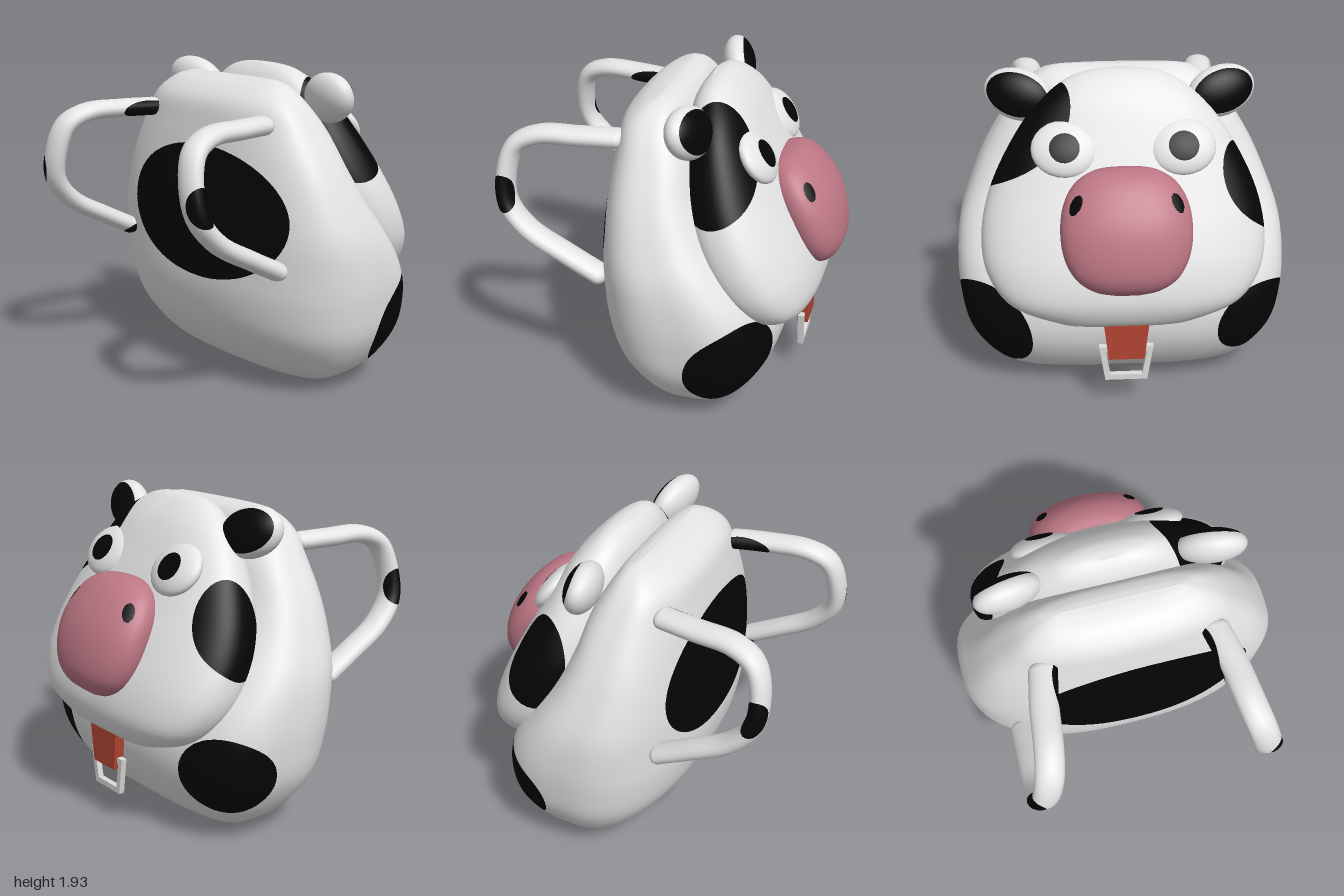
import * as THREE from 'three';

const mat = (name, color) =>
  Object.assign(new THREE.MeshStandardMaterial({ color }), { name });

// Smooth loft: sections are [y, halfWidth, zMin, zMax], each ring a superellipse
// with its own power on the -z half and on the +z half.
function loft(sections, powerBack, powerFront = powerBack, segs = 80, rings = 64) {
  const spline = (f) => new THREE.CatmullRomCurve3(sections.map(f), false, 'catmullrom');
  const widths = spline(([y, w]) => new THREE.Vector3(y, w, 0));
  const depths = spline(([, , lo, hi]) => new THREE.Vector3(lo, hi, 0));
  const bend = (v, power) => Math.sign(v) * Math.abs(v) ** (2 / power);
  const pos = [], index = [];
  for (let i = 0; i <= rings; i++) {
    const { x: y, y: w } = widths.getPoint(i / rings);
    const { x: lo, y: hi } = depths.getPoint(i / rings);
    for (let j = 0; j < segs; j++) {
      const a = (j / segs) * Math.PI * 2;
      const n = Math.sin(a) < 0 ? powerBack : powerFront;
      pos.push(w * bend(Math.cos(a), n), y, (lo + hi) / 2 + ((hi - lo) / 2) * bend(Math.sin(a), n));
      if (i === rings) continue;
      const p = i * segs + j, q = i * segs + ((j + 1) % segs);
      index.push(p, p + segs, q, p + segs, q + segs, q);
    }
  }
  const geo = new THREE.BufferGeometry();
  geo.setAttribute('position', new THREE.Float32BufferAttribute(pos, 3));
  geo.setIndex(index);
  geo.computeVertexNormals();
  return geo;
}

// Signed test for an ellipsoid region, negative inside.
const blob = (cx, cy, cz, rx, ry = rx, rz = rx) => (v) =>
  Math.hypot((v.x - cx) / rx, (v.y - cy) / ry, (v.z - cz) / rz) - 1;

// Cuts the triangles along test = 0 and gives the inside the spot material.
function painted(name, geometry, base, spot, ...tests) {
  const g = geometry.toNonIndexed();
  const P = g.attributes.position, N = g.attributes.normal;
  const parts = [{ p: [], n: [] }, { p: [], n: [] }];
  const corner = (i) => {
    const p = new THREE.Vector3().fromBufferAttribute(P, i);
    const n = new THREE.Vector3().fromBufferAttribute(N, i);
    return { p, n, f: Math.min(...tests.map((t) => t(p))) };
  };
  for (let i = 0; i < P.count; i += 3) {
    const tri = [corner(i), corner(i + 1), corner(i + 2)];
    parts.forEach((part, k) => {
      const side = k ? -1 : 1, poly = [];
      tri.forEach((a, e) => {
        const b = tri[(e + 1) % 3];
        if (a.f * side >= 0) poly.push(a);
        if (a.f * b.f < 0) {
          const t = a.f / (a.f - b.f);
          poly.push({ p: a.p.clone().lerp(b.p, t), n: a.n.clone().lerp(b.n, t).normalize() });
        }
      });
      for (let e = 1; e + 1 < poly.length; e++) {
        for (const c of [poly[0], poly[e], poly[e + 1]]) {
          part.p.push(c.p.x, c.p.y, c.p.z);
          part.n.push(c.n.x, c.n.y, c.n.z);
        }
      }
    });
  }
  const out = new THREE.BufferGeometry();
  const join = (key) => new THREE.Float32BufferAttribute(parts[0][key].concat(parts[1][key]), 3);
  out.setAttribute('position', join('p'));
  out.setAttribute('normal', join('n'));
  const count = parts[0].p.length / 3;
  out.addGroup(0, count, 0);
  out.addGroup(count, parts[1].p.length / 3, 1);
  const mesh = new THREE.Mesh(out, [base, spot]);
  mesh.name = name;
  return mesh;
}

const polygon = (points) => new THREE.Shape(points.map(([x, y]) => new THREE.Vector2(x, y)));

export function createModel() {
  const white = mat('white plush', 0xe4e4e4);
  const black = mat('black plush', 0x050505);
  const pink = mat('pink muzzle', 0xbd7785);
  const red = mat('red tongue', 0xb34533);
  const metal = mat('zip metal', 0xdcdcda);
  const model = new THREE.Group();
  const TILT = 0.456;

  // Bag body, with a big back patch and two low side patches
  const body = loft([
    [0.005, 0.44, -0.18, -0.18], [0.02, 0.56, -0.31, -0.06], [0.07, 0.68, -0.43, 0.07],
    [0.18, 0.82, -0.56, 0.21], [0.38, 0.945, -0.67, 0.35], [0.6, 0.99, -0.69, 0.41],
    [0.8, 1.0, -0.62, 0.42], [1.0, 0.98, -0.48, 0.415], [1.2, 0.91, -0.34, 0.4],
    [1.4, 0.82, -0.24, 0.375], [1.6, 0.7, -0.18, 0.345], [1.75, 0.59, -0.1, 0.31],
    [1.84, 0.48, -0.04, 0.22], [1.875, 0.39, 0.02, 0.13], [1.885, 0.33, 0.07, 0.07],
  ], 3.5, 2.5, 96, 72);
  model.add(painted('body', body, white, black,
    (v) => Math.max(Math.hypot((v.x - 0.07) / 0.67, (v.y - 1.1) / 0.4) - 1, -v.z),
    blob(0.84, 0.43, -0.52, 0.32),
    blob(-0.82, 0.46, -0.54, 0.29, 0.25, 0.3)));

  // Head: tilted dome with an ear patch and a cheek patch
  const head = loft([
    [-0.73, 0.2, 0.02, 0.02], [-0.705, 0.38, -0.08, 0.13], [-0.6, 0.65, -0.18, 0.22],
    [-0.42, 0.79, -0.23, 0.32], [-0.2, 0.83, -0.24, 0.38], [0.05, 0.79, -0.23, 0.38],
    [0.3, 0.68, -0.22, 0.32], [0.54, 0.52, -0.2, 0.2], [0.69, 0.35, -0.15, 0.1],
    [0.75, 0.22, -0.1, 0.03], [0.777, 0.04, -0.04, -0.04],
  ], 2.4).rotateX(TILT).translate(0, 1.22, -0.46);
  model.add(painted('head', head, white, black,
    blob(0.62, 1.65, -0.31, 0.36, 0.4, 0.26),
    blob(-0.72, 1.28, -0.43, 0.21, 0.31, 0.2)));

  // Muzzle with nostrils
  const muzzle = loft([
    [-0.365, 0.06, 0.0, 0.0], [-0.34, 0.18, -0.09, 0.06], [-0.27, 0.285, -0.16, 0.1],
    [-0.15, 0.35, -0.205, 0.12], [0, 0.37, -0.225, 0.12], [0.15, 0.35, -0.205, 0.12],
    [0.27, 0.285, -0.16, 0.1], [0.34, 0.18, -0.09, 0.06], [0.365, 0.06, 0.0, 0.0],
  ], 2.15, 2.15, 64, 40).rotateX(TILT).translate(0, 1.16, -0.725);
  model.add(painted('muzzle', muzzle, pink, black,
    (v) => Math.max(Math.hypot(Math.abs(v.x) - 0.28, v.z + 0.79) - 0.037, 1.15 - v.y)));

  for (const s of [1, -1]) {
    const side = s > 0 ? 'left' : 'right';

    // Eye: flat white cushion with a pupil
    const eye = painted(side + 'Eye',
      new THREE.SphereGeometry(1, 24, 24).rotateX(Math.PI / 2).scale(0.195, 0.168, 0.07),
      white, black, (v) => Math.max(Math.hypot(v.x - s * 0.005, v.y + 0.012) - 0.086, v.z));
    eye.position.set(s * 0.33, 1.567, -0.49);
    eye.rotation.x = 0.64;
    model.add(eye);

    // Ear with a dark inside
    const ear = painted(side + 'Ear',
      new THREE.SphereGeometry(1, 32, 24).rotateX(Math.PI / 2).scale(0.21, 0.15, 0.1),
      white, black, (v) => Math.max(Math.hypot(v.x / 0.185, v.y / 0.125) - 1, v.z));
    ear.rotation.set(0.28, -s * 0.25, s * 0.25, 'YZX');
    ear.position.set(s * 0.59, 1.778, -0.16);
    model.add(ear);

    // Shoulder strap: a tube widened sideways, with rounded ends
    const WIDE = 1.5, RADIUS = 0.056;
    const path = [
      [0.5, 1.655, 0.29], [0.54, 1.66, 0.5], [0.57, 1.655, 0.74], [0.6, 1.59, 0.87],
      [0.64, 1.42, 0.925], [0.675, 1.25, 0.91], [0.69, 1.1, 0.79], [0.69, 0.96, 0.55],
      [0.69, 0.86, 0.36],
    ].map(([x, y, z]) => new THREE.Vector3((s * x) / WIDE, y, z));
    const spots = [blob(s * 0.77, 1.33, 0.93, 0.12, 0.115, 0.125),
      blob(s * 0.63, 0.81, 0.36, 0.07),
      blob(s * 0.435, 1.63, 0.38, 0.075, 0.075, 0.17)];
    const tube = new THREE.TubeGeometry(new THREE.CatmullRomCurve3(path), 64, RADIUS, 20);
    model.add(painted(side + 'Strap', tube.scale(WIDE, 1, 1), white, black, ...spots));
    for (const end of [path[0], path[path.length - 1]]) {
      const cap = new THREE.SphereGeometry(RADIUS, 20, 14)
        .translate(end.x, end.y, end.z).scale(WIDE, 1, 1);
      model.add(painted(side + 'StrapEnd', cap, white, black, ...spots));
    }
  }

  // Tongue under the chin
  const tongue = new THREE.Mesh(new THREE.ExtrudeGeometry(
    polygon([[-0.105, 0.35], [0.105, 0.35], [0.14, 0.66], [-0.14, 0.66]]),
    { depth: 0.065, bevelEnabled: false }), red);
  tongue.name = 'tongue';
  tongue.position.z = -0.8;
  model.add(tongue);

  // Zip pull: a tapered open frame
  const frame = polygon([[-0.125, 0.195], [0.125, 0.195], [0.16, 0.425], [-0.16, 0.425]]);
  frame.holes.push(polygon([[-0.095, 0.23], [-0.122, 0.39], [0.122, 0.39], [0.095, 0.23]]));
  const pull = new THREE.Mesh(
    new THREE.ExtrudeGeometry(frame, { depth: 0.035, bevelEnabled: false }), metal);
  pull.name = 'zipPull';
  pull.position.z = -0.78;
  model.add(pull);

  return model;
}
